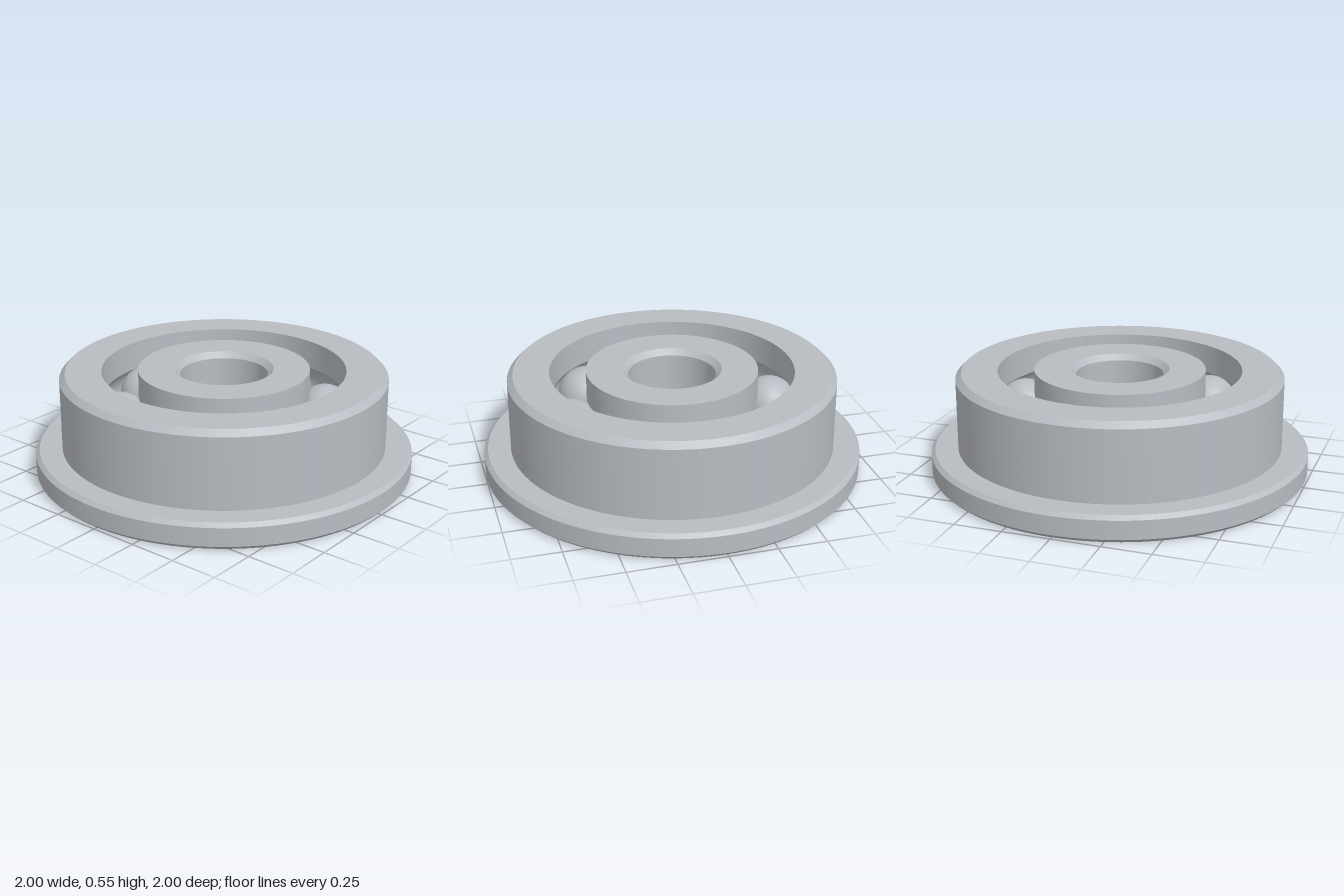
import * as THREE from 'three';
import { toCreasedNormals } from 'three/addons/utils/BufferGeometryUtils.js';

const HEIGHT = 0.545, MID = HEIGHT / 2;
const PITCH = 0.545, BALL = 0.15, GROOVE = 0.152; // ball circle, ball and raceway radii
const OUTER_WALL = 0.64, INNER_WALL = 0.45;

// Raceway cross-section: an arc between two angles around the ball centre
function raceway(from, to, steps = 12) {
  return Array.from({ length: steps + 1 }, (_, i) => {
    const a = from + (to - from) * i / steps;
    return [PITCH + GROOVE * Math.cos(a), MID + GROOVE * Math.sin(a)];
  });
}

// Closed ring turned from a counter-clockwise (radius, height) profile
function ring(name, profile, material) {
  const points = [...profile, profile[0]].map(([r, y]) => new THREE.Vector2(r, y));
  const geometry = toCreasedNormals(new THREE.LatheGeometry(points, 128), 0.55);
  const mesh = new THREE.Mesh(geometry, material);
  mesh.name = name;
  return mesh;
}

export function createModel() {
  const group = new THREE.Group();
  group.name = 'flangedBallBearing';
  const steel = new THREE.MeshStandardMaterial({ color: 0xb8bcc2 });
  steel.name = 'steel';

  // Outer ring with a chamfered flange at its foot
  const outerAngle = Math.acos((OUTER_WALL - PITCH) / GROOVE);
  group.add(ring('outerRing', [
    [OUTER_WALL, 0], [0.98, 0], [1, 0.02], [1, 0.118], [0.98, 0.138],
    [0.86, 0.138], [0.86, 0.515], [0.83, HEIGHT], [OUTER_WALL, HEIGHT],
    ...raceway(outerAngle, -outerAngle),
  ], steel));

  // Inner ring with a chamfered bore
  const innerAngle = Math.acos((PITCH - INNER_WALL) / GROOVE);
  group.add(ring('innerRing', [
    [0.26, 0], [INNER_WALL, 0],
    ...raceway(Math.PI + innerAngle, Math.PI - innerAngle),
    [INNER_WALL, HEIGHT], [0.26, HEIGHT], [0.23, HEIGHT - 0.03], [0.23, 0.03],
  ], steel));

  // Eight balls
  const balls = new THREE.Group();
  balls.name = 'balls';
  const ballGeometry = new THREE.SphereGeometry(BALL, 40, 24);
  for (let i = 0; i < 8; i++) {
    const a = i * Math.PI / 4;
    const ball = new THREE.Mesh(ballGeometry, steel);
    ball.name = 'ball';
    ball.position.set(PITCH * Math.cos(a), MID, PITCH * Math.sin(a));
    balls.add(ball);
  }
  group.add(balls);
  return group;
}
